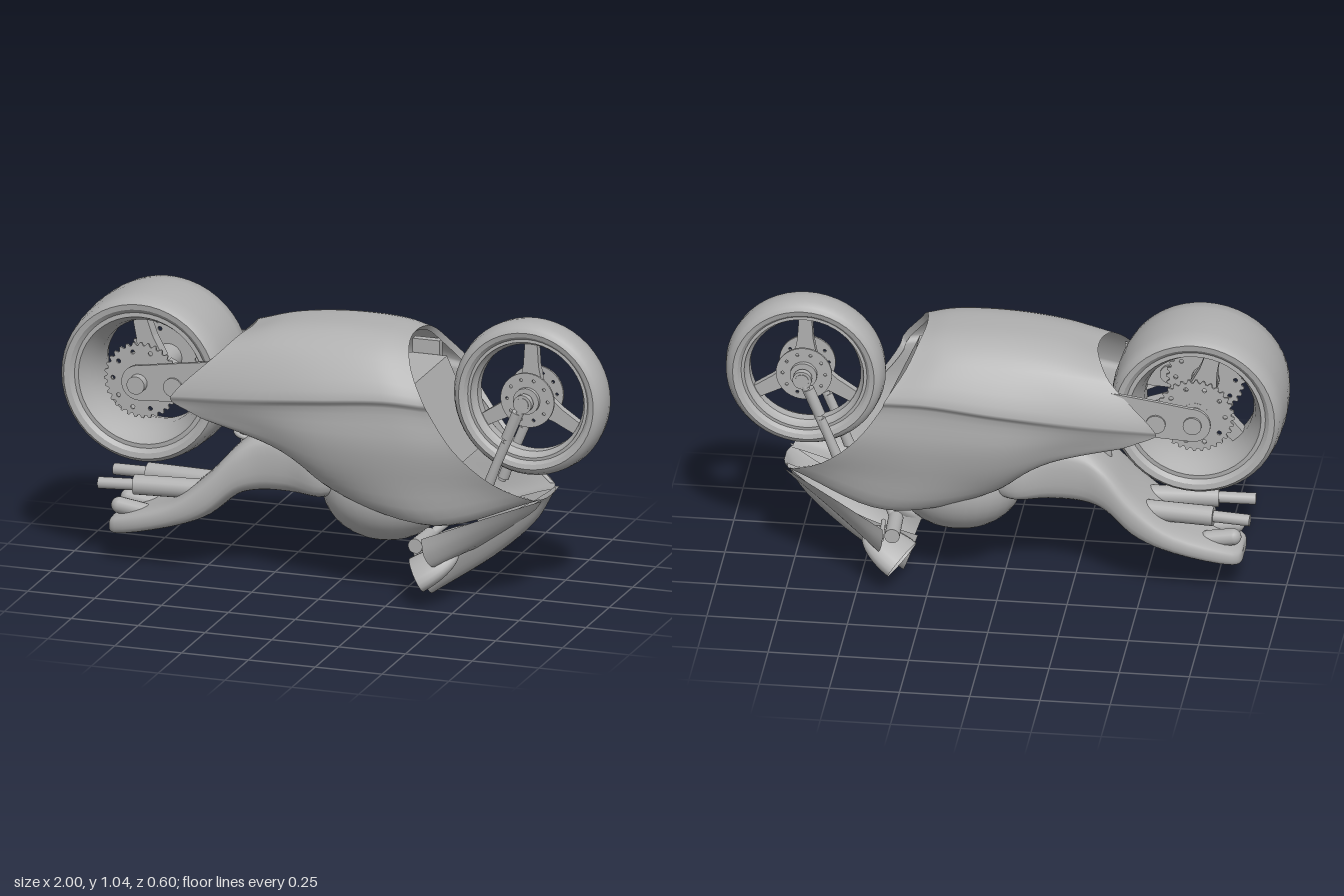
import * as THREE from 'three';
import { toCreasedNormals } from 'three/addons/utils/BufferGeometryUtils.js';

const V = (x, y, z) => new THREE.Vector3(x, y, z);

export function createModel() {
  const model = new THREE.Group();
  const grey = new THREE.MeshStandardMaterial({ color: 0xb0b0b0, side: THREE.DoubleSide });
  grey.name = 'bare grey';

  const add = (name, geo, parent = model) => {
    const m = new THREE.Mesh(geo, grey);
    m.name = name;
    parent.add(m);
    return m;
  };

  // Smooth skin through rows of points
  const loft = (rows, nu, nv) => {
    const lines = rows.map(r => new THREE.CatmullRomCurve3(r.map(p => V(...p))));
    const pos = [], idx = [];
    for (let i = 0; i <= nu; i++) {
      const across = new THREE.CatmullRomCurve3(lines.map(l => l.getPoint(i / nu)));
      for (let j = 0; j <= nv; j++) pos.push(...across.getPoint(j / nv).toArray());
    }
    for (let i = 0; i < nu; i++) for (let j = 0; j < nv; j++) {
      const a = i * (nv + 1) + j, b = a + nv + 1;
      idx.push(a, a + 1, b, b, a + 1, b + 1);
    }
    const g = new THREE.BufferGeometry();
    g.setAttribute('position', new THREE.Float32BufferAttribute(pos, 3));
    g.setIndex(idx);
    g.computeVertexNormals();
    return g;
  };
  const mirrorRows = rows =>
    [...rows.slice(1).reverse().map(r => r.map(([x, y, z]) => [x, y, -z])), ...rows];

  // Rod between two points
  const rod = (name, a, b, r, r2 = r, parent = model) => {
    const d = b.clone().sub(a);
    const m = add(name, new THREE.CylinderGeometry(r2, r, d.length(), 20), parent);
    m.position.copy(a).addScaledVector(d, 0.5);
    m.quaternion.setFromUnitVectors(V(0, 1, 0), d.normalize());
    return m;
  };
  // Flat outline with thickness centred on z
  const plate = (name, shape, z, t, parent = model) => {
    const g = new THREE.ExtrudeGeometry(shape, { depth: t, bevelEnabled: false, curveSegments: 20 });
    g.translate(0, 0, z - t / 2);
    return add(name, g, parent);
  };
  const poly = pts => new THREE.Shape(pts.map(p => new THREE.Vector2(...p)));
  const lathe = (name, pts, parent) => {
    const g = new THREE.LatheGeometry(pts.map(p => new THREE.Vector2(...p)), 48);
    g.rotateX(Math.PI / 2);
    return add(name, toCreasedNormals(g, 0.6), parent);
  };
  // Disc with bolt holes and optional teeth
  const disc = (name, r, teeth, z, parent) => {
    const pts = [], n = teeth ? teeth * 4 : 40;
    for (let i = 0; i < n; i++) {
      const a = i / n * Math.PI * 2, rr = teeth && i % 4 > 1 ? r * 0.92 : r;
      pts.push([Math.cos(a) * rr, Math.sin(a) * rr]);
    }
    const s = poly(pts);
    for (let i = 0; i < 10; i++) {
      const a = i / 10 * Math.PI * 2, h = new THREE.Path();
      h.absarc(Math.cos(a) * r * 0.76, Math.sin(a) * r * 0.76, r * 0.055, 0, Math.PI * 2, true);
      s.holes.push(h);
    }
    return plate(name, s, z, 0.008, parent);
  };
  // Three spokes that flare towards the hub
  const spokes = (inner, outer, width, depth, start, parent) => {
    const mid = (inner + outer) / 2;
    for (let i = 0; i < 3; i++) {
      const s = poly([[inner, -width * 1.2], [mid, -width * 0.75], [outer, -width * 0.6],
        [outer, width * 0.6], [mid, width * 0.75], [inner, width * 1.2]]);
      plate('spoke', s, 0, depth, parent).rotation.z = start + i * Math.PI * 2 / 3;
    }
  };

  // Rear wheel
  const rear = new THREE.Group();
  rear.name = 'rearWheel';
  rear.position.set(-0.69, 0.717, 0.022);
  model.add(rear);
  lathe('rearTyre', [[0.25, -0.15], [0.265, -0.164], [0.285, -0.167], [0.3, -0.148], [0.308, -0.09], [0.312, 0],
    [0.308, 0.09], [0.3, 0.148], [0.285, 0.167], [0.265, 0.164], [0.25, 0.15]], rear);
  lathe('rearRim', [[0.255, -0.15], [0.235, -0.152], [0.225, -0.13], [0.21, -0.1], [0.195, -0.04],
    [0.195, 0.04], [0.21, 0.1], [0.225, 0.13], [0.235, 0.152], [0.255, 0.15]], rear);
  spokes(0.04, 0.2, 0.042, 0.05, Math.PI * 105 / 180, rear);
  rod('rearHub', V(0, 0, -0.15), V(0, 0, 0.15), 0.05, 0.05, rear);
  rod('rearAxle', V(0, 0, -0.235), V(0, 0, 0.215), 0.033, 0.033, rear);
  for (const s of [-1, 1]) disc('sprocket', 0.14, 32, s * 0.145, rear);

  // Front wheel
  const front = new THREE.Group();
  front.name = 'frontWheel';
  front.position.set(0.712, 0.755, 0);
  model.add(front);
  lathe('frontTyre', [[0.222, -0.048], [0.235, -0.064], [0.252, -0.069], [0.268, -0.06], [0.28, -0.037], [0.285, 0],
    [0.28, 0.037], [0.268, 0.06], [0.252, 0.069], [0.235, 0.064], [0.222, 0.048]], front);
  lathe('frontRim', [[0.228, -0.05], [0.213, -0.052], [0.21, -0.035], [0.198, -0.02],
    [0.198, 0.02], [0.21, 0.035], [0.213, 0.052], [0.228, 0.05]], front);
  spokes(0.03, 0.202, 0.038, 0.03, Math.PI / 2, front);
  rod('frontHub', V(0, 0, -0.07), V(0, 0, 0.07), 0.048, 0.048, front);
  rod('frontAxle', V(0, 0, -0.112), V(0, 0, 0.112), 0.024, 0.024, front);
  for (const s of [-1, 1]) disc('brakeDisc', 0.1, 0, s * 0.05, front);

  // Body shell: lengthwise lines from the crown, over the ridge, to the underside
  const shell = [
    [[-.33, .91, 0], [-.2, .952, 0], [0, .975, 0], [.2, .97, 0], [.28, .955, 0]],
    [[-.35, .9, .11], [-.2, .94, .12], [0, .962, .125], [.2, .957, .125], [.295, .937, .12]],
    [[-.395, .855, .185], [-.2, .888, .205], [0, .9, .215], [.2, .9, .21], [.33, .87, .2]],
    [[-.56, .69, .228], [-.3, .72, .268], [0, .755, .297], [.25, .775, .285], [.4, .765, .262]],
    [[-.56, .67, .22], [-.3, .69, .255], [0, .725, .28], [.25, .745, .27], [.41, .735, .248]],
    [[-.5, .64, .22], [-.25, .62, .24], [0, .6, .276], [.3, .6, .268], [.5, .6, .24]],
    [[-.42, .605, .21], [-.2, .55, .22], [.03, .46, .235], [.3, .45, .24], [.63, .475, .19]],
    [[-.4, .6, .18], [-.15, .52, .18], [.02, .395, .18], [.4, .3, .185], [.76, .405, .11]],
    [[-.38, .61, .1], [-.13, .53, .1], [.03, .4, .1], [.4, .29, .1], [.77, .4, .06]],
  ];
  const body = add('bodyShell', loft(mirrorRows(shell), 28, 64));
  body.position.z = 0.004;

  // Rolled lip around the front opening
  const rim = mirrorRows(shell.slice(0, 8)).map(r => r[4]);
  const lip = rim.map(([x, y, z]) => [x - 0.015, y - (y > .7 ? 0.015 : 0), z * 0.95]);
  add('openingLip', loft([rim, lip], 56, 2)).position.z = 0.004;

  // Engine block with slanted front inside the shell
  plate('engineBlock', poly([[-.25, .81], [.33, .81], [.47, .5], [.05, .48], [-.25, .62]]), 0.003, 0.365);
  for (const s of [-1, 1]) {
    const b = add('engineBracket', new THREE.BoxGeometry(0.1, 0.26, 0.03));
    b.position.set(0.25, 0.73, s * 0.2);
  }

  // Nose screen
  add('noseScreen', loft(mirrorRows([
    [[.785, .4, 0], [.73, .3, 0], [.59, .165, 0], [.355, .003, 0]],
    [[.785, .4, .03], [.72, .3, .045], [.58, .17, .06], [.355, .01, .07]],
    [[.78, .4, .055], [.69, .31, .08], [.53, .2, .1], [.33, .08, .1]],
    [[.77, .4, .08], [.66, .32, .095], [.49, .23, .11], [.3, .165, .1]],
  ]), 16, 24));

  for (const s of [-1, 1]) {
    // Flared flanks of the nose
    add('noseFlank', loft([
      [[.78, .4, .095 * s], [.59, .342, .198 * s], [.4, .28, .297 * s]],
      [[.75, .36, .08 * s], [.57, .285, .182 * s], [.405, .215, .285 * s]],
      [[.66, .29, .088 * s], [.54, .225, .16 * s], [.42, .168, .25 * s]],
      [[.54, .205, .1 * s], [.49, .185, .15 * s], [.43, .155, .21 * s]],
    ], 10, 12));

    // Cupped scoops, open to the rear and drooping outwards
    const cup = add('noseScoop', new THREE.SphereGeometry(1, 20, 10, 0, Math.PI * 2, 0, Math.PI / 2));
    cup.scale.set(0.05, 0.17, 0.09);
    cup.position.set(0.345, 0.11, 0.188 * s);
    cup.rotation.set(0.3 * s, 0.45 * s, -1.15);

    // Handlebar grips
    rod('grip', V(.375, .245, .13 * s), V(.37, .245, .275 * s), 0.027);
    rod('handlebar', V(.42, .28, .05 * s), V(.375, .245, .15 * s), 0.016);
    rod('brakeLever', V(.42, .225, .12 * s), V(.41, .22, .26 * s), 0.008);

    // Fork legs
    const z = 0.097 * s;
    rod('forkTube', V(.715, .755, z), V(.565, .4, z), 0.014);
    rod('forkSleeve', V(.69, .72, z), V(.65, .62, z), 0.02);
    rod('forkLower', V(.645, .605, z), V(.57, .41, z), 0.015, 0.02);
    rod('forkClamp', V(.712, .755, z - .012), V(.712, .755, z + .012), 0.034);

    // Swingarm plates
    const arm = new THREE.Shape();
    arm.moveTo(-.4, .67);
    arm.lineTo(-.4, .825);
    arm.lineTo(-.57, .8);
    arm.lineTo(-.68, .782);
    arm.absarc(-.69, .717, .064, Math.PI / 2, Math.PI * 1.5, false);
    plate('swingarm', arm, 0.197 * s, 0.014);
    rod('armBolt', V(-.56, .715, .18 * s), V(-.56, .715, .212 * s), 0.035);

    // Exhausts and tail lamps
    rod('muffler', V(-.42, .3, .05 * s), V(-.75, .297, .075 * s), 0.036);
    rod('tailPipe', V(-.74, .297, .075 * s), V(-.88, .293, .085 * s), 0.021);
    const lamp = add('tailLamp', new THREE.CapsuleGeometry(0.03, 0.09, 6, 14));
    lamp.position.set(-.77, .2, .05 * s);
    lamp.rotation.z = Math.PI / 2 - 0.15;
  }

  // Rounded tank
  const tank = add('tank', new THREE.SphereGeometry(1, 32, 20));
  tank.scale.set(0.23, 0.187, 0.19);
  tank.position.set(0.165, 0.36, 0);

  // Seat and tail: sections of x, mid y, half height, half width
  const tail = [[-.848, .135, .003, .003], [-.846, .135, .025, .075], [-.82, .14, .035, .1], [-.6, .213, .052, .155],
    [-.47, .292, .08, .155], [-.36, .395, .095, .135], [-.28, .43, .11, .12], [-.16, .435, .11, .125],
    [-.04, .41, .085, .15], [.06, .41, .05, .12]];
  add('seatTail', loft(tail.map(([x, y, h, w]) => Array.from({ length: 17 }, (_, i) => {
    const a = i / 16 * Math.PI * 2 - Math.PI / 2, c = Math.cos(a), s = Math.sin(a);
    return [x, y + h * Math.sign(s) * Math.abs(s) ** 0.6, w * Math.sign(c) * Math.abs(c) ** 0.6];
  })), 32, 40));

  // Rear shock absorber
  const coil = Array.from({ length: 61 }, (_, i) => {
    const a = i / 60 * Math.PI * 10;
    return V(-.36 + Math.cos(a) * .035, .49 + i / 60 * .24, Math.sin(a) * .035);
  });
  add('shockSpring', new THREE.TubeGeometry(new THREE.CatmullRomCurve3(coil), 120, 0.009, 6));
  rod('shockRod', V(-.36, .44, 0), V(-.36, .75, 0), 0.018);
  return model;
}
